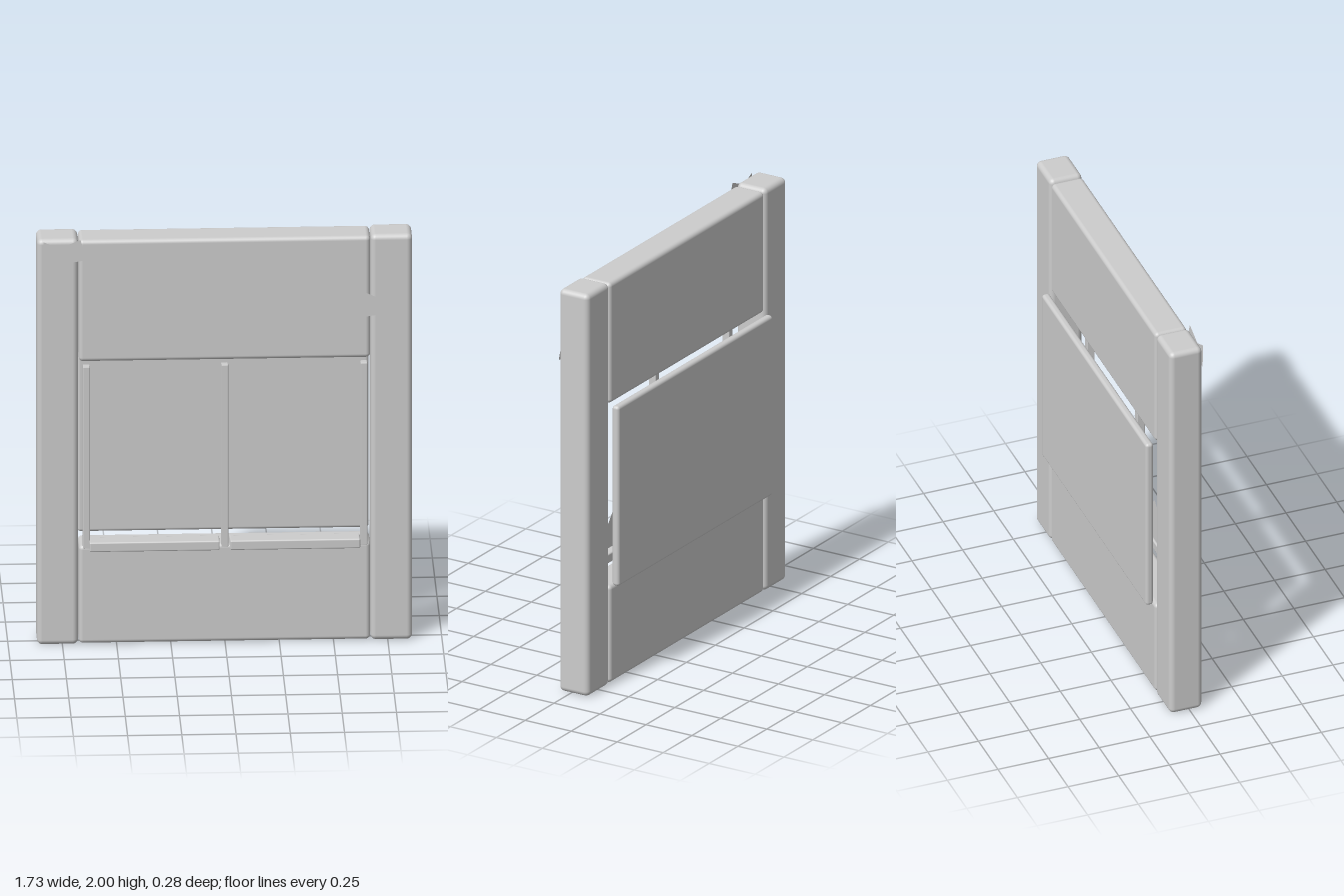
import * as THREE from 'three';
import { RoundedBoxGeometry } from 'three/addons/geometries/RoundedBoxGeometry.js';

export function createModel() {
  const model = new THREE.Group();
  model.name = 'boardedWindowWall';
  const grey = new THREE.MeshStandardMaterial({ color: 0xcccccc, side: THREE.DoubleSide });
  grey.name = 'plain grey';

  // Rounded block given by its extents
  function block(name, x0, x1, y0, y1, z0, z1, radius) {
    const mesh = new THREE.Mesh(new RoundedBoxGeometry(x1 - x0, y1 - y0, z1 - z0, 3, radius), grey);
    mesh.position.set((x0 + x1) / 2, (y0 + y1) / 2, (z0 + z1) / 2);
    mesh.name = name;
    model.add(mesh);
  }

  // Flat cut-out facing the front
  function plate(name, points, x, y, z) {
    const shape = new THREE.Shape(points.map(([px, py]) => new THREE.Vector2(px, py)));
    const mesh = new THREE.Mesh(new THREE.ShapeGeometry(shape), grey);
    mesh.position.set(x, y, z);
    mesh.name = name;
    model.add(mesh);
  }

  // Side posts and wide boards
  block('rightPost', -0.867, -0.677, 0.004, 2, -0.098, 0.063, 0.025);
  block('leftPost', 0.671, 0.863, 0.004, 2, -0.098, 0.063, 0.025);
  block('upperBoard', -0.674, 0.669, 1.395, 1.993, -0.097, 0.06, 0.02);
  block('lowerBoard', -0.674, 0.669, 0.008, 0.49, -0.097, 0.06, 0.02);

  // Panel closing the opening from behind
  block('backPanel', -0.674, 0.669, 0.497, 1.39, -0.143, -0.105, 0.015);

  // Window uprights and sills
  for (const x of [-0.641, -0.003, 0.638]) {
    block('windowUpright', x - 0.016, x + 0.016, 0.492, 1.388, 0.066, 0.104, 0.004);
  }
  for (const x of [-0.328, 0.32]) {
    block('windowSill', x - 0.3, x + 0.3, 0.488, 0.535, 0.062, 0.14, 0.007);
  }

  // Jagged broken panes
  const pane = [[0, 0], [0.555, 0], [0.555, 0.18], [0.44, 0.08], [0.325, 0.22],
    [0.19, 0.115], [0.085, 0.345], [0, 0.225]];
  for (const x of [-0.606, 0.044]) plate('brokenPane', pane, x, 0.575, 0.05);

  // Torn scraps on the front
  const scrap = [[0, 0], [0.197, 0.034], [0.164, 0.132], [0.066, 0.092], [-0.007, 0.125]];
  for (const [x, y] of [[-0.832, 1.87], [0.642, 1.603], [0.437, 0.26]]) {
    plate('scrap', scrap, x, y, 0.075);
  }
  return model;
}
